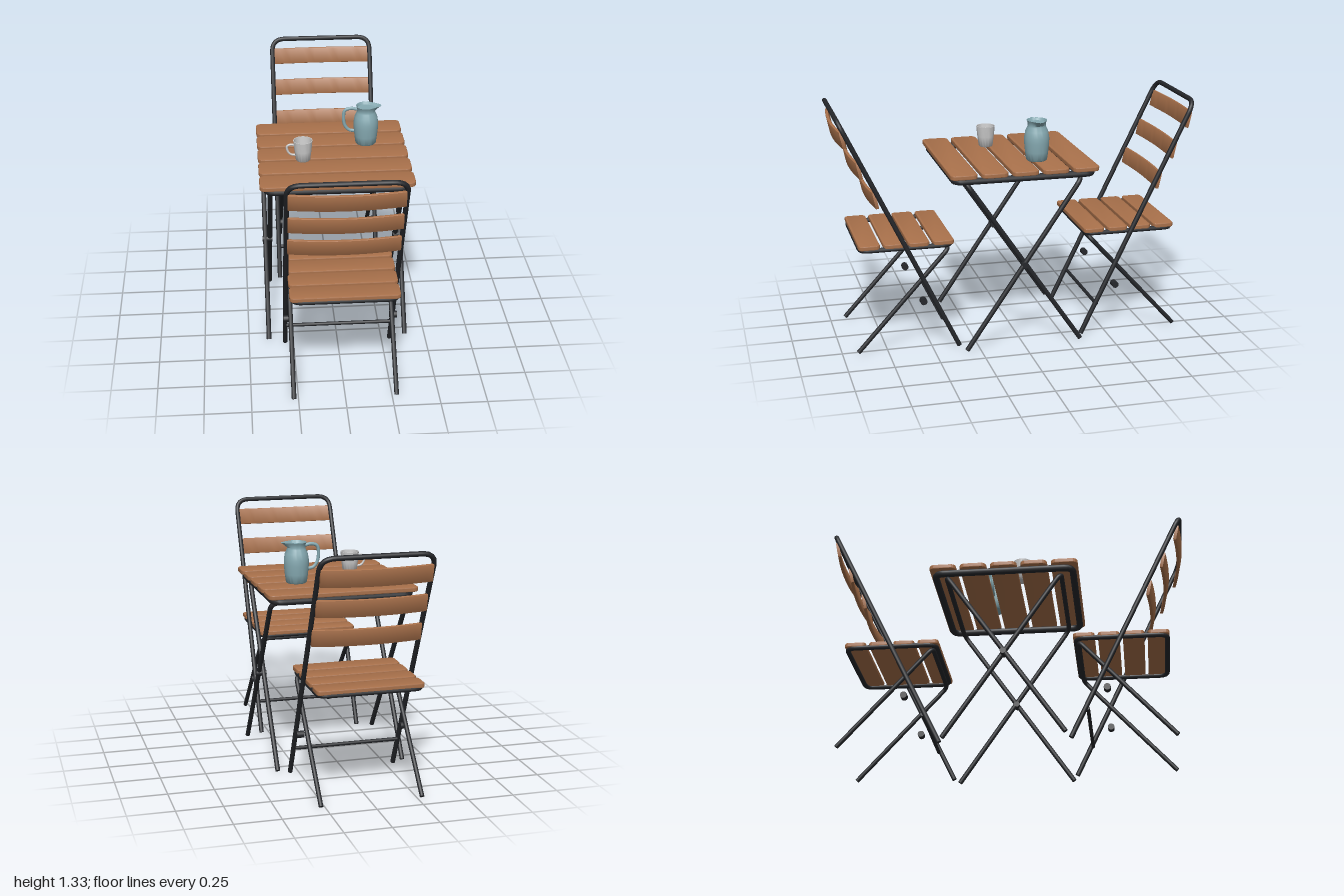
import * as THREE from 'three';
import { toCreasedNormals } from 'three/addons/utils/BufferGeometryUtils.js';

const wood = new THREE.MeshStandardMaterial({ color: 0xa9714b });
const metal = new THREE.MeshStandardMaterial({ color: 0x25272b });
const teal = new THREE.MeshStandardMaterial({ color: 0x86aab2, side: THREE.DoubleSide });
const grey = new THREE.MeshStandardMaterial({ color: 0xcccccc, side: THREE.DoubleSide });

const V = (x, y, z) => new THREE.Vector3(x, y, z);

function add(parent, name, geometry, material, x = 0, y = 0, z = 0) {
  const mesh = new THREE.Mesh(geometry, material);
  mesh.name = name;
  mesh.position.set(x, y, z);
  parent.add(mesh);
  return mesh;
}

// Path through points with rounded corners
function roundedPath(pts, radius, closed) {
  const path = new THREE.CurvePath();
  const n = pts.length;
  let last = closed ? pts[0].clone().lerp(pts[n - 1], 0.5) : pts[0];
  const start = last;
  for (let i = closed ? 0 : 1; i < (closed ? n : n - 1); i++) {
    const p = pts[i], prev = pts[(i + n - 1) % n], next = pts[(i + 1) % n];
    const a = p.clone().add(prev.clone().sub(p).setLength(radius));
    const b = p.clone().add(next.clone().sub(p).setLength(radius));
    path.add(new THREE.LineCurve3(last, a));
    path.add(new THREE.QuadraticBezierCurve3(a, p, b));
    last = b;
  }
  path.add(new THREE.LineCurve3(last, closed ? start : pts[n - 1]));
  return path;
}

// Bent steel tube; open ends get caps
function pipe(parent, name, pts, r, bend, closed = false) {
  const path = roundedPath(pts, bend, closed);
  const group = new THREE.Group();
  group.name = name;
  parent.add(group);
  add(group, name + 'Tube', new THREE.TubeGeometry(path, 160, r, 10, closed), metal);
  if (closed) return;
  for (const [end, next] of [[pts[0], pts[1]], [pts.at(-1), pts.at(-2)]]) {
    const cap = add(group, name + 'Cap', new THREE.CircleGeometry(r, 10), metal, end.x, end.y, end.z);
    cap.quaternion.setFromUnitVectors(V(0, 0, 1), end.clone().sub(next).normalize());
  }
}

// Inverted U: two feet joined by a top bar
function uFrame(parent, name, x, foot, top, r, bend) {
  const [fy, fz] = foot, [ty, tz] = top;
  pipe(parent, name, [V(-x, fy, fz), V(-x, ty, tz), V(x, ty, tz), V(x, fy, fz)], r, bend);
}

function rod(parent, name, length, r, x, y, z) {
  add(parent, name, new THREE.CylinderGeometry(r, r, length, 14).rotateZ(Math.PI / 2), metal, x, y, z);
}

// Extrude a plan shape (x, z) into a centred board with soft edges
function board(shape, height, bevel) {
  const g = new THREE.ExtrudeGeometry(shape, {
    depth: height - 2 * bevel, bevelEnabled: true, bevelSize: bevel, bevelThickness: bevel,
    bevelOffset: -bevel, bevelSegments: 2, curveSegments: 6,
  });
  g.translate(0, 0, -(height - 2 * bevel) / 2).rotateX(Math.PI / 2);
  return toCreasedNormals(g, 0.6);
}

function flatSlat(w, d, h, r) {
  const s = new THREE.Shape(), x = w / 2, y = d / 2, q = Math.PI / 2;
  s.absarc(x - r, y - r, r, 0, q);
  s.absarc(-x + r, y - r, r, q, 2 * q);
  s.absarc(-x + r, -y + r, r, 2 * q, 3 * q);
  s.absarc(x - r, -y + r, r, 3 * q, 4 * q);
  return board(s, h, 0.006);
}

function bowedSlat(w, height, thick, bow) {
  const pts = [], n = 16;
  const arc = (t) => bow * (1 - t * t);
  for (let i = 0; i <= n; i++) { const t = -1 + 2 * i / n; pts.push(new THREE.Vector2(t * w / 2, arc(t))); }
  for (let i = n; i >= 0; i--) { const t = -1 + 2 * i / n; pts.push(new THREE.Vector2(t * w / 2, arc(t) + thick)); }
  return board(new THREE.Shape(pts), height, 0.004);
}

function table() {
  const g = new THREE.Group();
  g.name = 'table';
  for (let i = -2; i <= 2; i++) add(g, 'tableSlat', flatSlat(0.836, 0.148, 0.026, 0.03), wood, 0, 1.003, i * 0.169);
  const e = 0.383, y = 0.973;
  pipe(g, 'tableRim', [V(-e, y, -e), V(e, y, -e), V(e, y, e), V(-e, y, e)], 0.019, 0.05, true);
  uFrame(g, 'tableOuterLegs', 0.387, [0.008, 0.328], [0.955, -0.318], 0.0135, 0.05);
  uFrame(g, 'tableInnerLegs', 0.361, [0.008, -0.328], [0.955, 0.318], 0.0135, 0.05);
  for (const s of [-1, 1]) rod(g, 'tablePivot', 0.058, 0.017, s * 0.375, 0.48, 0);
  return g;
}

function chair(name) {
  const g = new THREE.Group();
  g.name = name;
  const foot = [0.007, 0.352], top = [1.317, 0.987];
  const backZ = (y) => foot[1] + (top[1] - foot[1]) * (y - foot[0]) / (top[0] - foot[0]);
  uFrame(g, 'backFrame', 0.297, foot, top, 0.0135, 0.075);
  uFrame(g, 'seatLegs', 0.274, [0.01, 0.913], [0.572, 0.402], 0.0125, 0.04);
  // Seat
  const x = 0.275, y = 0.592, z0 = 0.386, z1 = 0.885;
  pipe(g, 'seatRim', [V(-x, y, z0), V(x, y, z0), V(x, y, z1), V(-x, y, z1)], 0.0135, 0.05, true);
  for (let i = 0; i < 4; i++) add(g, 'seatSlat', flatSlat(0.576, 0.118, 0.026, 0.022), wood, 0, 0.609, 0.43 + i * 0.1355);
  // Bowed backrest slats, fixed behind the frame
  for (const h of [0.876, 1.046, 1.216]) {
    add(g, 'backSlat', bowedSlat(0.584, 0.094, 0.017, 0.021), wood, 0, h, backZ(h) + 0.015).rotation.x = 0.21;
  }
  rod(g, 'crossBar', 0.58, 0.01, 0, 0.173, backZ(0.173) + 0.012);
  for (const s of [-1, 1]) rod(g, 'stopPin', 0.04, 0.019, s * 0.29, 0.285, 0.55);
  return g;
}

const lathe = (profile, seg) =>
  toCreasedNormals(new THREE.LatheGeometry(profile.map(([r, y]) => new THREE.Vector2(r, y)), seg), 0.7);

function handle(parent, name, pts, r, material) {
  const curve = new THREE.CatmullRomCurve3(pts.map(([x, y]) => V(x, y, 0)));
  add(parent, name, new THREE.TubeGeometry(curve, 28, r, 8), material);
}

function cup() {
  const g = new THREE.Group();
  g.name = 'cup';
  add(g, 'cupBody', lathe([[0, 0], [0.034, 0], [0.04, 0.006], [0.047, 0.06], [0.053, 0.119], [0.049, 0.119],
    [0.043, 0.06], [0.036, 0.012], [0, 0.01]], 32), grey);
  handle(g, 'cupHandle', [[-0.045, 0.092], [-0.07, 0.095], [-0.087, 0.085], [-0.084, 0.058], [-0.068, 0.038], [-0.042, 0.032]], 0.0065, grey);
  g.position.set(-0.17, 1.016, 0.087);
  return g;
}

function pitcher() {
  const g = new THREE.Group();
  g.name = 'pitcher';
  const body = new THREE.LatheGeometry([[0, 0], [0.052, 0], [0.058, 0.006], [0.064, 0.05], [0.069, 0.1], [0.069, 0.13],
    [0.063, 0.165], [0.052, 0.188], [0.049, 0.198], [0.052, 0.215], [0.057, 0.226], [0.053, 0.226], [0.046, 0.212],
    [0, 0.21]].map(([r, y]) => new THREE.Vector2(r, y)), 40);
  // Pull the rim out into a spout
  const p = body.attributes.position;
  for (let i = 0; i < p.count; i++) {
    const x = p.getX(i), y = p.getY(i), z = p.getZ(i), r = Math.hypot(x, z);
    if (y > 0.195 && r > 0.04 && x > 0) p.setX(i, x + 0.03 * Math.pow(x / r, 6) * (y - 0.195) / 0.031);
  }
  add(g, 'pitcherBody', toCreasedNormals(body, 0.7), teal);
  handle(g, 'pitcherHandle', [[-0.048, 0.205], [-0.085, 0.212], [-0.118, 0.2], [-0.126, 0.16], [-0.118, 0.11], [-0.095, 0.082], [-0.062, 0.075]], 0.0095, teal);
  g.position.set(0.195, 1.016, -0.114);
  return g;
}

export function createModel() {
  const model = new THREE.Group();
  model.name = 'bistroSet';
  const front = chair('frontChair'), back = chair('backChair');
  back.rotation.y = Math.PI;
  model.add(table(), front, back, cup(), pitcher());
  return model;
}
